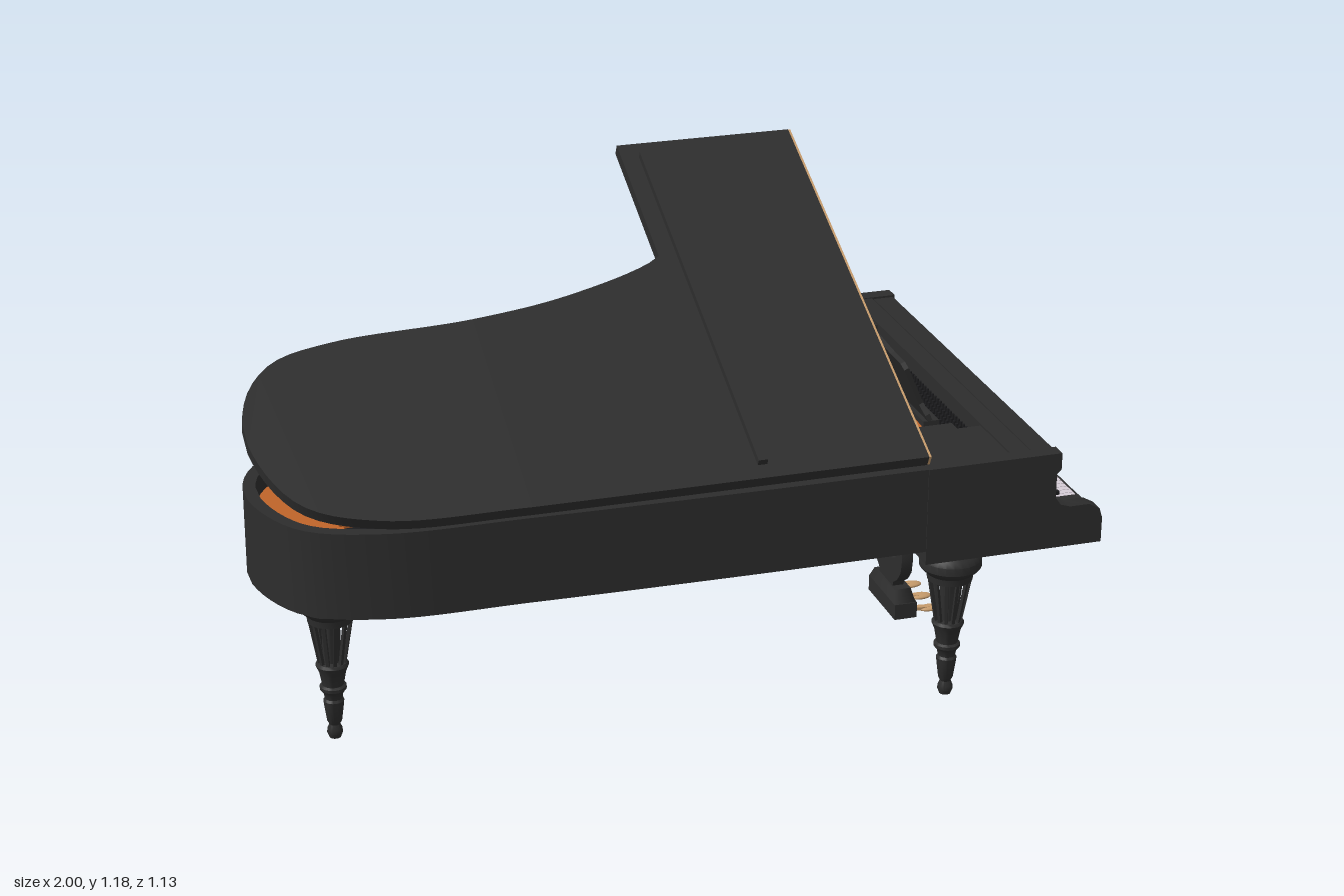
import * as THREE from 'three';
import { mergeGeometries, toCreasedNormals } from 'three/addons/utils/BufferGeometryUtils.js';

const paint = (name, color) => {
  const m = new THREE.MeshStandardMaterial({ color });
  m.name = name;
  return m;
};
const V2 = (p) => new THREE.Vector2(p[0], p[1]);

export function createModel() {
  const black = paint('black lacquer', 0x2d2d2d);
  const ebony = paint('ebony', 0x1d1d1f);
  const ivory = paint('ivory', 0xd5ccd6);
  const bronze = paint('bronze frame', 0xc0652a);
  const wood = paint('pale wood', 0xc79c6c);
  const steel = paint('string steel', 0x85888a);

  const piano = new THREE.Group();
  piano.name = 'grandPiano';
  const add = (name, geo, mat, parent = piano) => {
    const m = new THREE.Mesh(geo, mat);
    m.name = name;
    parent.add(m);
    return m;
  };
  // box from min and max corners
  const box = (x0, x1, y0, y1, z0, z1) =>
    new THREE.BoxGeometry(x1 - x0, y1 - y0, z1 - z0).translate((x0 + x1) / 2, (y0 + y1) / 2, (z0 + z1) / 2);
  // slab from a plan outline of [x, z] points
  const slab = (pts, y, h, hole) => {
    const s = new THREE.Shape(pts.map(V2));
    if (hole) s.holes.push(new THREE.Path(hole.map(V2)));
    const g = new THREE.ExtrudeGeometry(s, { depth: h, bevelEnabled: false });
    return toCreasedNormals(g.rotateX(Math.PI / 2).translate(0, y + h, 0), 0.5);
  };
  // bar between two points
  const bar = (a, b, w, h) => {
    const A = new THREE.Vector3(...a), B = new THREE.Vector3(...b);
    const g = new THREE.BoxGeometry(w, h, A.distanceTo(B));
    const o = new THREE.Object3D();
    o.position.copy(A).add(B).multiplyScalar(0.5);
    o.lookAt(B);
    o.updateMatrix();
    return g.applyMatrix4(o.matrix);
  };

  // plan curve: straight bass side, round tail, bent treble side
  const curve = new THREE.CatmullRomCurve3([
    [0.5, 0.562], [0.1, 0.56], [-0.4, 0.55], [-0.75, 0.535], [-0.92, 0.46], [-1, 0.27], [-0.98, 0.13], [-0.9, 0.03],
    [-0.75, -0.015], [-0.4, -0.04], [-0.15, -0.085], [0.1, -0.18], [0.22, -0.3], [0.29, -0.47], [0.36, -0.55], [0.5, -0.565],
  ].map(([x, z]) => new THREE.Vector3(x, 0, z)), false, 'centripetal');
  const N = 110;
  const inset = (d) => Array.from({ length: N + 1 }, (_, i) => {
    const p = curve.getPointAt(i / N), t = curve.getTangentAt(i / N);
    return [Math.max(p.x, -1) - t.z * d, p.z + t.x * d];
  });
  const rimOuter = inset(0), rimInner = inset(0.03);
  const closed = (pts, x, z) => [...pts, [x, -z], [x, z]];

  // case
  add('rim', slab(closed(rimOuter, 0.8, 0.565), 0.45, 0.212, closed(rimInner, 0.77, 0.535)), black);
  add('caseFloor', slab(closed(inset(0.01), 0.79, 0.55), 0.452, 0.02), black);
  add('soundboard', slab(closed(rimInner, 0.77, 0.535), 0.57, 0.01), ebony);
  add('bassSoundboard', slab([[0.5, 0.25], [0.5, 0.53], [-0.72, 0.505], [-0.8, 0.36]], 0.582, 0.006), wood);

  // iron frame with wide tail and treble corner
  const frameHole = inset(0.065).map(([x, z]) => [Math.max(x, -0.8), Math.max(z, -0.42)]);
  add('ironFrame', slab(closed(rimInner, 0.77, 0.535), 0.59, 0.02, frameHole), bronze);
  [[[0.5, 0.24], [-0.81, 0.35]], [[0.5, 0.0], [-0.81, 0.1]], [[0.5, -0.24], [0.08, -0.12]]].forEach(([a, b]) =>
    add('frameStrut', bar([a[0], 0.617, a[1]], [b[0], 0.617, b[1]], 0.024, 0.025), bronze));
  add('frameBridge', box(0.49, 0.52, 0.6, 0.63, -0.5, 0.5), bronze);
  for (const z of [-0.3, -0.1, 0.1, 0.3]) add('frameRib', box(0.52, 0.7, 0.605, 0.63, z - 0.012, z + 0.012), bronze);

  // strings fanning from the bridge to the frame edge
  const strings = [];
  const first = frameHole.findIndex((p) => p[1] < 0.34);
  for (let i = 0; i < 80; i++) {
    const f = i / 79;
    const e = frameHole[Math.round(first + f * (N - 12 - first))];
    strings.push(bar([0.5, 0.605, 0.22 - 0.63 * f], [e[0], 0.605, e[1]], 0.0035, 0.003));
  }
  add('strings', mergeGeometries(strings), steel);

  // tuning pins
  const pins = [];
  for (let r = 0; r < 4; r++)
    for (let i = 0; i < 40; i++)
      pins.push(new THREE.CylinderGeometry(0.004, 0.004, 0.02, 6)
        .translate(0.715 + r * 0.015, 0.62, -0.33 + (i + (r % 2) / 2) * 0.0168));
  add('tuningPins', mergeGeometries(pins), ebony);

  // board round the music desk
  add('deskFrame', slab([[0.5, -0.54], [0.79, -0.54], [0.79, 0.54], [0.5, 0.54]], 0.643, 0.014,
    [[0.56, -0.31], [0.71, -0.31], [0.71, -0.345], [0.78, -0.345], [0.78, 0.345], [0.71, 0.345], [0.71, 0.31], [0.56, 0.31]]), black);

  // music desk
  const half = [[0.29, 0], [0.288, 0.018], [0.272, 0.045], [0.276, 0.15], [0.265, 0.165], [0.2, 0.166], [0.12, 0.177], [0.05, 0.183]];
  const deskShape = new THREE.Shape([...half, ...half.map(([z, y]) => [-z, y]).reverse()].map(V2));
  const desk = add('musicDesk', new THREE.ExtrudeGeometry(deskShape, { depth: 0.012, bevelEnabled: false }).rotateY(Math.PI / 2), black);
  desk.position.set(0.657, 0.657, 0);
  desk.rotation.z = 0.42;
  add('deskLedge', box(0.645, 0.685, 0.645, 0.66, -0.29, 0.29), black);
  add('deskRail', box(0.59, 0.602, 0.63, 0.65, -0.31, 0.31), black);

  // keyboard end
  const cheekPts = [[0.55, 0.417], [1, 0.417], [1, 0.48], [0.992, 0.505], [0.965, 0.52], [0.915, 0.52], [0.89, 0.528],
    [0.876, 0.548], [0.876, 0.61], [0.887, 0.62], [0.887, 0.662], [0.55, 0.662]];
  for (const s of [-1, 1]) {
    const g = new THREE.ExtrudeGeometry(new THREE.Shape(cheekPts.map(V2)), { depth: 0.04, bevelEnabled: false });
    add('cheek', toCreasedNormals(g, 0.6).translate(0, 0, s > 0 ? 0.525 : -0.565), black);
    add('keyBlock', box(0.86, 0.98, 0.46, 0.502, s > 0 ? 0.468 : -0.528, s > 0 ? 0.528 : -0.468), black);
  }
  add('keybed', box(0.55, 0.985, 0.417, 0.475, -0.53, 0.53), black);
  add('keySlip', box(0.977, 0.998, 0.418, 0.482, -0.53, 0.53), black);
  add('pinBlockCover', box(0.78, 0.845, 0.46, 0.645, -0.53, 0.53), black);
  add('fallboard', box(0.84, 0.868, 0.46, 0.597, -0.524, 0.524), black);
  add('fallboardLip', box(0.84, 0.876, 0.605, 0.628, -0.527, 0.527), black);
  add('frontShelf', box(0.79, 0.822, 0.64, 0.66, -0.53, 0.53), black);
  add('frontTop', box(0.828, 0.882, 0.636, 0.657, -0.53, 0.53), black);

  // keys, bass at the +z end
  const w = 0.936 / 52, whites = [], blacks = [];
  for (let i = 0; i < 52; i++) {
    const z = 0.468 - i * w;
    whites.push(box(0.866, 0.975, 0.478, 0.5, z - w + 0.001, z - 0.001));
    if (i < 51 && [0, 1, 3, 4, 5].includes((i + 5) % 7))
      blacks.push(box(0.866, 0.937, 0.49, 0.509, z - w - 0.0052, z - w + 0.0052));
  }
  add('whiteKeys', mergeGeometries(whites), ivory);
  add('blackKeys', mergeGeometries(blacks), ebony);

  // open lid, hinged along the bass side
  const lid = new THREE.Group();
  lid.name = 'lid';
  lid.position.set(0, 0.669, 0.55);
  lid.rotation.x = THREE.MathUtils.degToRad(25.5);
  piano.add(lid);
  const lidPts = [[0.55, 0], ...rimOuter.filter((p) => p[0] < 0.09).map(([x, z]) => [x, Math.min(z - 0.55, 0)]),
    [0.095, -0.73], [0.095, -1.123], [0.55, -1.123]];
  add('lidPanel', slab(lidPts, 0, 0.028), black, lid);
  add('lidEdge', box(0.55, 0.556, 0.001, 0.027, -1.123, 0), wood, lid);
  add('lidEdgeLine', box(0.55, 0.557, 0.012, 0.015, -1.12, -0.003), ebony, lid);
  add('topBatten', box(0.14, 0.163, 0.02, 0.044, -1.075, -0.04), black, lid);
  add('underBatten', box(0.14, 0.163, -0.016, 0.01, -1.075, -0.055), black, lid);

  // lid prop
  add('lidProp', bar([0.48, 0.655, -0.548], [0.54, 1.09, -0.362], 0.014, 0.014), black);

  // turned legs with a cage of slender rods
  const legProfile = [[0, 0.45], [0.043, 0.45], [0.043, 0.405], [0.05, 0.398], [0.068, 0.388], [0.076, 0.375], [0.076, 0.355],
    [0.068, 0.345], [0.057, 0.335], [0.055, 0.318], [0.022, 0.315], [0.022, 0.21], [0.036, 0.207], [0.04, 0.2], [0.036, 0.19],
    [0.032, 0.18], [0.026, 0.147], [0.032, 0.143], [0.032, 0.135], [0.024, 0.125], [0.021, 0.11], [0.025, 0.104], [0.024, 0.095],
    [0.018, 0.05], [0.013, 0.04], [0.018, 0.028], [0.019, 0.018], [0.014, 0.005], [0, 0]].reverse();
  const legParts = [toCreasedNormals(new THREE.LatheGeometry(legProfile.map(V2), 24), 0.6)];
  for (let i = 0; i < 12; i++) {
    const a = (i / 12) * Math.PI * 2, c = Math.cos(a), s = Math.sin(a);
    legParts.push(bar([0.05 * c, 0.32, 0.05 * s], [0.03 * c, 0.205, 0.03 * s], 0.008, 0.008).toNonIndexed());
  }
  const legGeo = mergeGeometries(legParts);
  [['frontLegLeft', 0.66, 0.455], ['frontLegRight', 0.66, -0.464], ['tailLeg', -0.815, 0.238]].forEach(([n, x, z]) =>
    add(n, legGeo, black).position.set(x, 0, z));

  // pedal lyre
  const lyre = new THREE.Group();
  lyre.name = 'pedalLyre';
  lyre.position.set(0.7, 0, -0.015);
  piano.add(lyre);
  const outer = [[0.045, 0.09], [0.05, 0.105], [0.075, 0.122], [0.097, 0.15], [0.104, 0.19], [0.092, 0.24], [0.073, 0.29],
    [0.066, 0.33], [0.078, 0.348], [0.079, 0.362], [0.072, 0.375], [0.083, 0.395], [0.095, 0.42]];
  const inner = [[0.045, 0.42], [0.046, 0.37], [0.041, 0.33], [0.041, 0.29], [0.055, 0.25], [0.066, 0.205], [0.06, 0.178], [0.035, 0.167]];
  const rightSide = [...outer, ...inner];
  const lyreShape = new THREE.Shape([...rightSide, ...rightSide.map(([z, y]) => [-z, y]).reverse()].map(V2));
  const lyreGeo = new THREE.ExtrudeGeometry(lyreShape, { depth: 0.03, bevelEnabled: false });
  add('lyreArms', toCreasedNormals(lyreGeo, 0.6).rotateY(Math.PI / 2).translate(-0.015, 0, 0), black, lyre);
  add('lyreCrossbar', box(-0.01, 0.01, 0.288, 0.302, -0.045, 0.045), black, lyre);
  for (const z of [-0.02, 0, 0.02])
    add('lyreRod', new THREE.CylinderGeometry(0.003, 0.003, 0.26, 8).translate(0, 0.29, z), black, lyre);
  add('lyreBase', box(-0.025, 0.035, 0.018, 0.06, -0.093, 0.093), black, lyre);
  const cap = new THREE.CylinderGeometry(0.07 * Math.SQRT2, 0.09 * Math.SQRT2, 0.032, 4).rotateY(Math.PI / 4);
  add('lyreBaseCap', cap.toNonIndexed().scale(0.32, 1, 1).translate(0.003, 0.076, 0), black, lyre);

  // pedals
  for (const z of [-0.07, 0, 0.07]) {
    add('pedalStem', bar([0.03, 0.033, z], [0.08, 0.03, z], 0.016, 0.008), wood, lyre);
    add('pedalToe', new THREE.SphereGeometry(1, 16, 10).scale(0.032, 0.007, 0.017).translate(0.08, 0.028, z), wood, lyre);
  }
  return piano;
}
